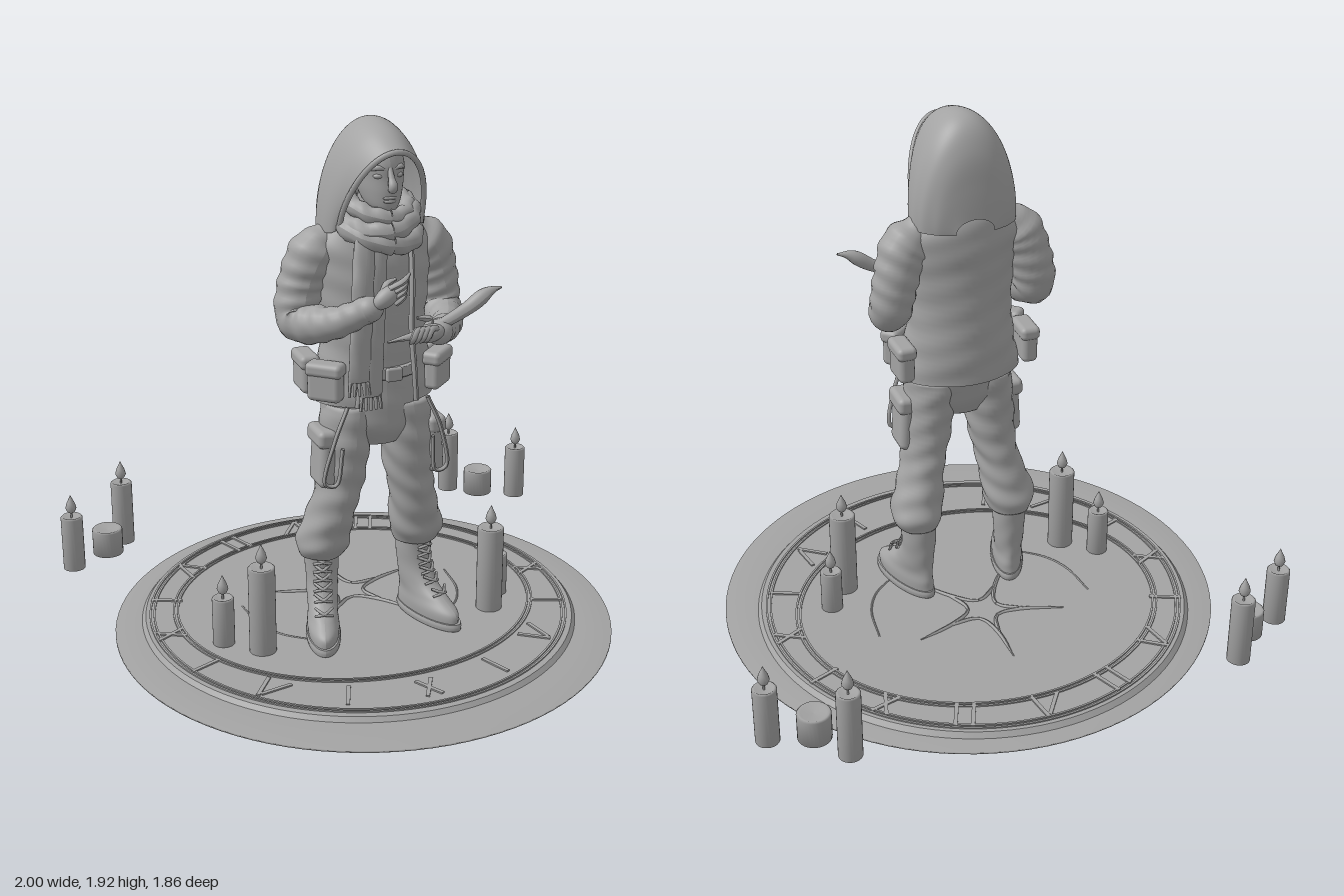
import * as THREE from 'three';
import { RoundedBoxGeometry } from 'three/addons/geometries/RoundedBoxGeometry.js';

const stone = new THREE.MeshStandardMaterial({ color: 0xa3a3a3, side: THREE.DoubleSide });
stone.name = 'grey stone';
const V = (p) => new THREE.Vector3(...p);

function add(parent, name, geometry, pos = [0, 0, 0], rot = [0, 0, 0], scale = [1, 1, 1]) {
  const m = new THREE.Mesh(geometry, stone);
  m.name = name;
  m.position.set(...pos);
  m.rotation.set(...rot);
  m.scale.set(...scale);
  parent.add(m);
  return m;
}

// Smooth interpolation of a table of numbers, t in 0..1
function sample(rows, t) {
  const f = t * (rows.length - 1), i = Math.min(Math.floor(f), rows.length - 2), u = f - i;
  const at = (k) => rows[Math.max(0, Math.min(rows.length - 1, k))];
  return rows[0].map((_, c) => {
    const a = at(i - 1)[c], b = at(i)[c], d = at(i + 1)[c], e = at(i + 2)[c];
    return b + 0.5 * u * (d - a + u * (2 * a - 5 * b + 4 * d - e + u * (3 * (b - d) + e - a)));
  });
}

// Grid surface from a point rule f(u, v)
function surface(f, nu, nv) {
  const pos = [], idx = [];
  for (let i = 0; i <= nu; i++) for (let j = 0; j <= nv; j++) {
    pos.push(...f(i / nu, j / nv));
    if (i < nu && j < nv) {
      const a = i * (nv + 1) + j, b = a + nv + 1;
      idx.push(a, a + 1, b, a + 1, b + 1, b);
    }
  }
  const g = new THREE.BufferGeometry();
  g.setAttribute('position', new THREE.Float32BufferAttribute(pos, 3));
  g.setIndex(idx);
  g.computeVertexNormals();
  return g;
}

// Horizontal sections [x, y, z, rx, rz], rising; gap is the half angle left open at the front
function loft(rows, { gap = 0, fold = 0, capped = gap === 0 } = {}) {
  const all = capped ? [[...rows[0].slice(0, 3), 0, 0], ...rows, [...rows.at(-1).slice(0, 3), 0, 0]] : rows;
  const last = all.length - 1;
  return surface((u, v) => {
    const f = u * last;
    const [x, y, z, rx, rz] = !capped ? sample(rows, u)
      : f < 1 ? all[0].map((n, c) => n + (all[1][c] - n) * f)
      : f > last - 1 ? all[last].map((n, c) => n + (all[last - 1][c] - n) * (last - f))
      : sample(rows, (f - 1) / (last - 2));
    const a = gap + v * (Math.PI * 2 - gap * 2);
    const k = 1 + fold * (Math.sin(y * 62 + Math.sin(a + x * 9) * 3.5) + 0.6 * Math.sin(a * 5 + y * 25));
    return [x + Math.sin(a) * rx * k, y, z + Math.cos(a) * rz * k];
  }, last * 7, 40);
}

// Tube with changing radius and optional cloth folds
function limb(points, radii, { fold = 0, sides = 14, steps = 36, closed = false } = {}) {
  const curve = new THREE.CatmullRomCurve3(points.map(V), closed);
  const g = new THREE.TubeGeometry(curve, steps, 1, sides, closed);
  const p = g.attributes.position, v = new THREE.Vector3();
  for (let i = 0; i <= steps; i++) {
    const c = curve.getPointAt(i / steps), r = Math.max(0.0005, sample(radii.map((n) => [n]), i / steps)[0]);
    for (let j = 0; j <= sides; j++) {
      const k = i * (sides + 1) + j, a = (j / sides) * Math.PI * 2;
      v.fromBufferAttribute(p, k).sub(c).multiplyScalar(r * (1 + fold * Math.sin(i * 1.1 + Math.sin(a) * 2))).add(c);
      p.setXYZ(k, v.x, v.y, v.z);
    }
  }
  g.computeVertexNormals();
  return g;
}
const ball = new THREE.SphereGeometry(1, 24, 16);
const rounded = (w, h, d, r = 0.015) => new RoundedBoxGeometry(w, h, d, 3, r);
const both = (fn) => [-1, 1].forEach(fn);

// Round base with raised rings, tick marks and a thin star
function buildBase(g) {
  const disc = [[0, 0], [0.93, 0], [0.93, 0.007], [0.82, 0.014], [0, 0.014]].map((p) => new THREE.Vector2(...p));
  add(g, 'baseDisc', new THREE.LatheGeometry(disc, 96));
  add(g, 'basePlate', new THREE.CylinderGeometry(0.805, 0.82, 0.018, 96), [0, 0.021, -0.05]);
  const ring = (rx, rz, z) => {
    const s = new THREE.Shape().absellipse(0, 0, rx, rz, 0, Math.PI * 2);
    s.holes.push(new THREE.Path().absellipse(0, 0, rx - 0.007, rz - 0.007, 0, Math.PI * 2));
    const e = new THREE.ExtrudeGeometry(s, { depth: 0.006, bevelEnabled: false, curveSegments: 96 });
    add(g, 'baseRing', e, [0, 0.029, z], [-Math.PI / 2, 0, 0]);
  };
  [[0.79, 0.785, -0.055], [0.775, 0.77, -0.055], [0.695, 0.62, -0.1], [0.68, 0.605, -0.1]].forEach((r) => ring(...r));
  const patterns = { bar: [[0, 0]], pair: [[-0.03, 0], [0.03, 0]], cross: [[0, 0.5], [0, -0.5]], fork: [[-0.02, 0.15], [0.03, -0.6]] };
  const order = ['cross', 'bar', 'fork', 'bar', 'cross', 'bar', 'fork', 'pair', 'fork', 'pair', 'cross', 'bar', 'cross', 'bar', 'fork', 'bar'];
  order.forEach((kind, i) => {
    const a = (i / 16) * Math.PI * 2, mark = new THREE.Group();
    mark.name = 'tickMark';
    mark.position.set(-Math.sin(a) * 0.73, 0.032, -0.075 + Math.cos(a) * 0.69);
    mark.rotation.y = -a;
    for (const [x, r] of patterns[kind]) add(mark, 'tickBar', new THREE.BoxGeometry(0.014, 0.007, 0.12), [x, 0, 0], [0, r, 0]);
    g.add(mark);
  });
  for (let i = 0; i < 5; i++) {
    const a = (i / 5) * Math.PI * 2;
    const at = (r, t) => [Math.sin(t) * r, 0.031, -0.17 - Math.cos(t) * r];
    add(g, 'starRay', limb([at(0.3, a), at(0.16, a), at(0.075, a + 0.25), at(0.06, a + 0.63)], [0.002, 0.007, 0.008, 0.006], { sides: 6 }));
    add(g, 'starRay', limb([at(0.16, a), at(0.075, a - 0.25), at(0.06, a - 0.63)], [0.006, 0.008, 0.006], { sides: 6 }));
  }
  both((s) => add(g, 'baseArc', limb([[s * 0.42, 0.03, -0.19], [s * 0.4, 0.03, -0.03], [s * 0.35, 0.03, 0.07], [s * 0.26, 0.03, 0.15]], [0.003, 0.004, 0.004, 0.003], { sides: 6 })));
}

function buildCandle(g, x, z, y0, y1, r, lit = true) {
  const c = new THREE.Group();
  c.name = 'candle';
  c.position.set(x, 0, z);
  const h = y1 - y0;
  const wax = [[0, 0], [r, 0], [r, h - 0.006], [r - 0.006, h], [r * 0.75, h - 0.004], [0, h - 0.008]];
  add(c, 'wax', new THREE.LatheGeometry(wax.map((p) => new THREE.Vector2(...p)), 28), [0, y0, 0]);
  if (lit) {
    add(c, 'wick', new THREE.CylinderGeometry(0.004, 0.004, 0.03, 8), [0, y1 + 0.005, 0]);
    const flame = [[0, 0], [0.014, 0.01], [0.021, 0.025], [0.016, 0.045], [0.006, 0.066], [0, 0.08]];
    add(c, 'flame', new THREE.LatheGeometry(flame.map((p) => new THREE.Vector2(...p)), 16), [0, y1 + 0.008, 0]);
  }
  g.add(c);
}

function buildLegs(g) {
  add(g, 'hips', loft([[0, 0.78, 0.11, 0.1, 0.085], [0, 0.85, 0.11, 0.18, 0.115], [0, 0.95, 0.1, 0.195, 0.125], [0, 1.08, 0.09, 0.17, 0.12]], { fold: 0.01 }));
  both((s) => {
    const rows = [[0.185, 0.33, 0.05, 0.078, 0.085], [0.185, 0.38, 0.06, 0.098, 0.1], [0.172, 0.45, 0.075, 0.092, 0.1], [0.15, 0.55, 0.095, 0.082, 0.1],
      [0.13, 0.65, 0.105, 0.086, 0.1], [0.115, 0.8, 0.11, 0.093, 0.112], [0.1, 0.93, 0.105, 0.095, 0.12]];
    add(g, 'trouserLeg', loft(rows.map(([x, ...r]) => [x * s, ...r]), { fold: 0.035 }));
    // Thigh pocket with flap, strap and hanging cords
    add(g, 'thighPocket', rounded(0.06, 0.19, 0.13, 0.025), [s * 0.205, 0.73, 0.13], [0, 0, s * 0.06]);
    add(g, 'pocketFlap', rounded(0.07, 0.065, 0.14, 0.02), [s * 0.208, 0.82, 0.13], [0, 0, s * 0.06]);
    add(g, 'hangingCord', limb([[s * 0.15, 0.95, 0.23], [s * 0.2, 0.83, 0.235], [s * 0.23, 0.67, 0.22], [s * 0.19, 0.66, 0.22], [s * 0.17, 0.8, 0.235]], [0.008, 0.008, 0.008, 0.008, 0.008], { sides: 8 }));
    const boot = new THREE.Group();
    boot.name = 'boot';
    boot.position.set(s * 0.185, 0, 0.05);
    boot.rotation.y = s * 0.3;
    add(boot, 'sole', loft([[0, 0.03, 0.085, 0.062, 0.168], [0, 0.045, 0.085, 0.064, 0.17], [0, 0.058, 0.085, 0.061, 0.167]]));
    add(boot, 'bootUpper', loft([[0, 0.055, 0.082, 0.057, 0.16], [0, 0.09, 0.08, 0.058, 0.157], [0, 0.125, 0.055, 0.055, 0.125],
      [0, 0.17, 0.018, 0.056, 0.088], [0, 0.25, -0.005, 0.06, 0.07], [0, 0.36, -0.005, 0.066, 0.075]], { fold: 0.012 }));
    for (let i = 0; i < 6; i++) {
      const y = 0.14 + i * 0.033, z = [0.158, 0.112, 0.09, 0.076, 0.07, 0.07][i];
      both((d) => add(boot, 'lace', limb([[-0.032 * d, y, z - 0.012], [0, y + 0.014, z + 0.004], [0.032 * d, y + 0.028, z - 0.022]], [0.005, 0.006, 0.005], { sides: 6, steps: 8 })));
    }
    g.add(boot);
  });
}

function buildTorso(g) {
  add(g, 'shirt', loft([[0, 1, 0.09, 0.165, 0.125], [0, 1.2, 0.09, 0.165, 0.125], [0, 1.4, 0.08, 0.18, 0.125], [0, 1.52, 0.07, 0.16, 0.11], [0, 1.6, 0.07, 0.08, 0.08]], { fold: 0.01 }));
  add(g, 'belt', loft([[0, 1.03, 0.09, 0.176, 0.14], [0, 1.07, 0.09, 0.176, 0.14]]));
  add(g, 'buckle', rounded(0.06, 0.05, 0.02, 0.008), [0.02, 1.05, 0.235]);
  add(g, 'jacket', loft([[0, 0.94, 0.09, 0.225, 0.15], [0, 1.05, 0.09, 0.205, 0.155], [0, 1.2, 0.09, 0.188, 0.15], [0, 1.36, 0.085, 0.2, 0.145],
    [0, 1.48, 0.07, 0.212, 0.135], [0, 1.56, 0.065, 0.17, 0.12], [0, 1.6, 0.065, 0.1, 0.1]], { gap: 0.5, fold: 0.013 }));
  both((s) => {
    add(g, 'jacketEdge', limb([[s * 0.11, 0.94, 0.222], [s * 0.1, 1.05, 0.228], [s * 0.09, 1.2, 0.222], [s * 0.095, 1.36, 0.212], [s * 0.1, 1.5, 0.185]], [0.01, 0.011, 0.011, 0.011, 0.01], { sides: 8 }));
    // Side pouches
    [[0.21, 0.175, 0.75], [0.235, 0.04, 1.6]].forEach(([x, z, a]) => {
      add(g, 'pouch', rounded(0.125, 0.12, 0.06, 0.02), [s * x, 1.025, z], [0, s * a, 0]);
      add(g, 'pouchFlap', rounded(0.135, 0.05, 0.072, 0.018), [s * x, 1.08, z], [0, s * a, 0]);
    });
  });
  // Scarf wraps and hanging tails
  [[1.6, 0.115, 0.125, 0.036, 0.2], [1.555, 0.125, 0.13, 0.036, -0.25], [1.64, 0.1, 0.11, 0.03, -0.1]].forEach(([y, rx, rz, r, tilt]) => {
    const loop = Array.from({ length: 10 }, (_, i) => {
      const a = (i / 10) * Math.PI * 2;
      return [Math.sin(a) * rx, y - Math.cos(a) * 0.035 + Math.sin(a) * tilt * 0.08, 0.12 + Math.cos(a) * rz];
    });
    add(g, 'scarfWrap', limb(loop, [r, r], { closed: true, fold: 0.1, steps: 60 }));
  });
  [[-0.12, 1.05, 0.262, 0.04], [-0.075, 0.99, 0.255, 0.04]].forEach(([x, y, z, w]) => {
    add(g, 'scarfTail', loft([[x, y, z, w, 0.014], [x + 0.01, y + 0.2, z, w, 0.018], [x + 0.02, 1.4, z - 0.01, w, 0.02], [x + 0.04, 1.55, z - 0.04, w, 0.025]], { fold: 0.04 }));
    for (let i = -2; i <= 2; i++) add(g, 'scarfFringe', limb([[x + i * 0.016, y + 0.01, z], [x + i * 0.019, y - 0.05, z + 0.004]], [0.008, 0.005], { sides: 6, steps: 4 }));
  });
}

function buildHead(g) {
  add(g, 'neck', new THREE.CylinderGeometry(0.055, 0.065, 0.15, 20), [0, 1.61, 0.1]);
  add(g, 'face', loft([[0, 1.615, 0.185, 0.025, 0.045], [0, 1.645, 0.165, 0.055, 0.075], [0, 1.69, 0.145, 0.073, 0.098], [0, 1.735, 0.135, 0.081, 0.105],
    [0, 1.785, 0.13, 0.083, 0.11], [0, 1.83, 0.125, 0.065, 0.095], [0, 1.855, 0.12, 0.03, 0.05]]));
  add(g, 'nose', limb([[0, 1.775, 0.235], [0, 1.74, 0.252], [0, 1.712, 0.264], [0, 1.7, 0.238]], [0.008, 0.011, 0.016, 0.008]));
  [[1.675, 0.02], [1.663, 0.018]].forEach(([y, w]) => add(g, 'lip', ball, [0, y, 0.236], [0, 0, 0], [w + 0.005, 0.007, 0.01]));
  both((s) => {
    add(g, 'eyelid', ball, [s * 0.036, 1.748, 0.222], [0, s * 0.3, 0], [0.018, 0.009, 0.012]);
    add(g, 'brow', limb([[s * 0.014, 1.77, 0.236], [s * 0.04, 1.777, 0.228], [s * 0.064, 1.765, 0.202]], [0.004, 0.009, 0.004], { sides: 8 }));
  });
  // Hood arches from rim to nape: [apex y, apex z, half width, base y, base z]
  const arches = [[1.84, 0.3, 0.15, 1.56, 0.15], [1.895, 0.2, 0.172, 1.545, 0.13], [1.92, 0.08, 0.187, 1.54, 0.08], [1.895, 0, 0.187, 1.53, 0.03],
    [1.81, -0.05, 0.168, 1.53, -0.01], [1.69, -0.068, 0.13, 1.53, -0.045], [1.58, -0.075, 0.07, 1.53, -0.07]];
  const hood = (u, v) => {
    const [ya, za, w, yb, zb] = sample(arches, u), a = (v - 0.5) * Math.PI, c = Math.cos(a);
    const k = 1 + 0.012 * u * Math.sin(u * 30 + c * 4);
    return [Math.sin(a) * w * k, yb + (ya - yb) * c, zb + (za - zb) * Math.pow(c, 1.15 - 0.3 * u) * k];
  };
  add(g, 'hood', surface(hood, 40, 48));
  add(g, 'hoodRim', limb(Array.from({ length: 15 }, (_, i) => hood(0, i / 14)), [0.01, 0.01], { sides: 8, steps: 50 }));
}

function buildArms(g) {
  const arms = [
    { sleeve: [[-0.15, 1.53, 0.06], [-0.21, 1.46, 0.06], [-0.255, 1.34, 0.05], [-0.27, 1.24, 0.07], [-0.2, 1.25, 0.2], [-0.1, 1.32, 0.305]], hand: [-0.05, 1.365, 0.335] },
    { sleeve: [[0.15, 1.53, 0.06], [0.21, 1.46, 0.06], [0.25, 1.34, 0.05], [0.265, 1.22, 0.07], [0.23, 1.2, 0.2], [0.15, 1.215, 0.32]], hand: [0.1, 1.225, 0.35] },
  ];
  arms.forEach(({ sleeve, hand }, i) => {
    add(g, 'sleeve', limb(sleeve, [0.05, 0.085, 0.083, 0.08, 0.076, 0.07, 0.058, 0.05, 0.046], { fold: 0.04, sides: 20, steps: 60 }));
    add(g, 'cuff', ball, sleeve[5], [0, 0, 0], [0.048, 0.045, 0.045]);
    add(g, 'palm', ball, hand, [0, 0, i ? 0.1 : 0.6], [0.055, 0.032, 0.03]);
    for (let f = 0; f < 4; f++) {
      const [x, y, z] = hand, o = f * 0.018;
      const path = i
        ? [[x + 0.02 - o, y + 0.02, z + 0.015], [x - 0.005 - o, y + 0.025, z + 0.03], [x - 0.02 - o, y, z + 0.035], [x - 0.02 - o, y - 0.025, z + 0.01]]
        : [[x + 0.005 + o * 0.4, y + 0.03 - o, z + 0.01], [x + 0.05, y + 0.055 - o, z + 0.022], [x + 0.08 - o * 0.3, y + 0.075 - o * 1.1, z + 0.005]];
      add(g, 'finger', limb(path, [0.011, 0.012, 0.011, 0.005], { sides: 8, steps: 14 }));
    }
    const [x, y, z] = hand;
    add(g, 'thumb', limb([[x - 0.01, y + 0.015, z - 0.01], [x + 0.01, y + 0.04, z - 0.02], [x + 0.04 - i * 0.08, y + 0.055, z - 0.015]], [0.013, 0.013, 0.006], { sides: 8, steps: 14 }));
  });
  add(g, 'woodenRod', limb([[-0.04, 1.2, 0.32], [0.1, 1.225, 0.325], [0.25, 1.285, 0.32], [0.335, 1.338, 0.32], [0.38, 1.348, 0.32]], [0.004, 0.012, 0.017, 0.02, 0.023, 0.025, 0.004], { sides: 12 }));
}

export function createModel() {
  const model = new THREE.Group();
  model.name = 'hoodedFigureWithCandles';
  const part = (name, build) => {
    const g = new THREE.Group();
    g.name = name;
    build(g);
    model.add(g);
  };
  part('base', buildBase);
  part('candles', (g) => {
    both((s) => {
      buildCandle(g, s * 0.45, 0.153, 0.03, 0.363, 0.049);
      buildCandle(g, s * 0.72, -0.82, 0.08, 0.34, 0.042);
      buildCandle(g, s * 0.958, -0.655, 0.08, 0.3, 0.042);
      buildCandle(g, s * 0.81, -0.71, 0.095, 0.2, 0.059, false);
    });
    buildCandle(g, -0.565, 0.05, 0.03, 0.215, 0.04);
    buildCandle(g, 0.53, 0.05, 0.03, 0.195, 0.04);
  });
  part('legs', buildLegs);
  part('torso', buildTorso);
  part('head', buildHead);
  part('arms', buildArms);
  return model;
}
